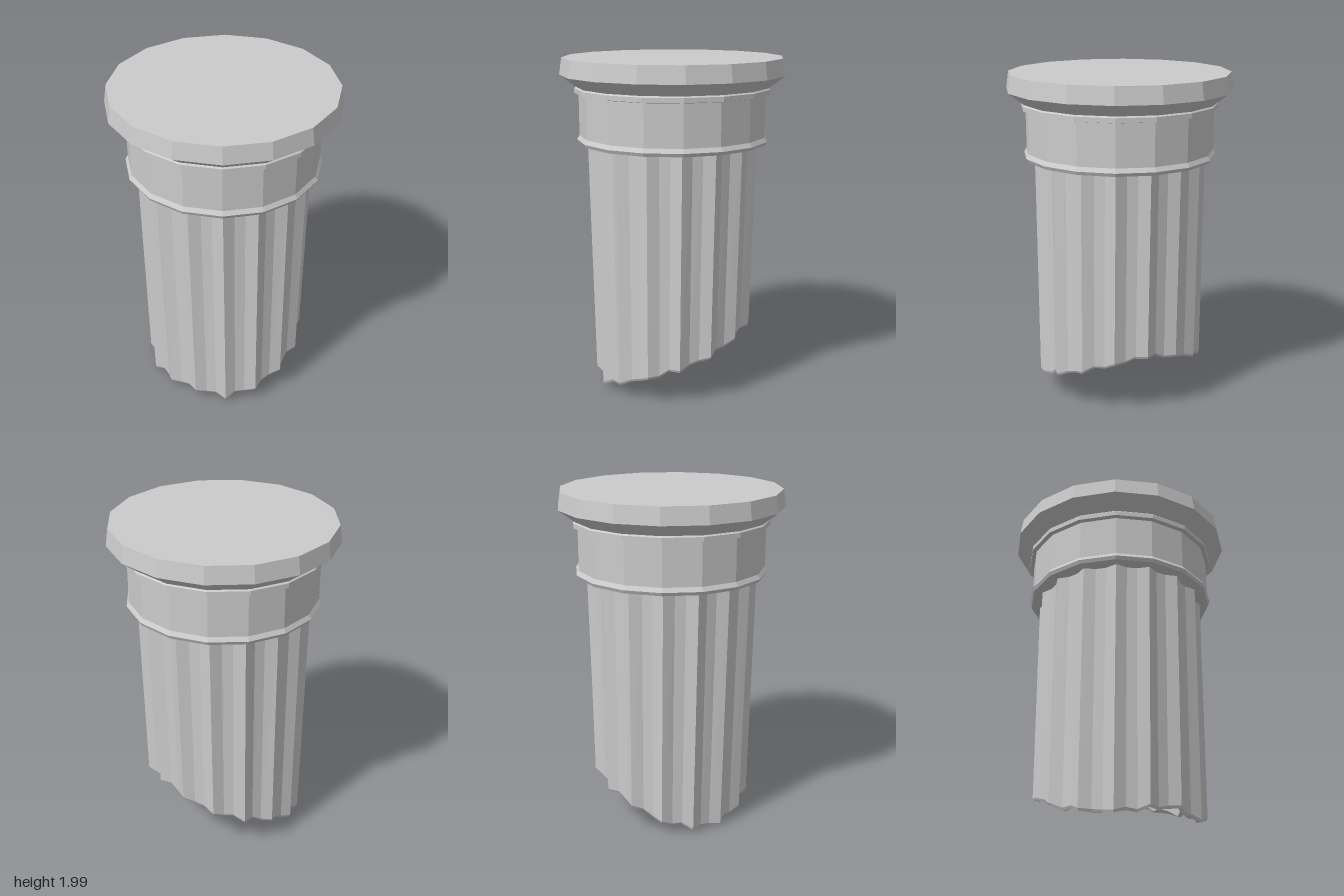
import * as THREE from 'three';

const SIDES = 16;          // capital sides and number of flutes
const PER_FLUTE = 3;       // facets across one flute
const SHAFT_TOP = 1.51;

// Height of the broken lower edge at each ridge, going from +x towards +z
const BREAK = [0.38, 0.35, 0.28, 0.22, 0.17, 0.10, 0.04, 0.07,
  0.05, 0.01, 0.03, 0.09, 0.17, 0.22, 0.28, 0.35];

function breakHeight(i) {
  const k = Math.floor(i / PER_FLUTE), t = (i % PER_FLUTE) / PER_FLUTE;
  const y = THREE.MathUtils.lerp(BREAK[k % SIDES], BREAK[(k + 1) % SIDES], t);
  return Math.max(0, y + (t > 0 ? 0.012 * Math.sin(i * 2.7) : 0));
}

// One point of the fluted outline; the shaft narrows slightly in x downwards
function shaftPoint(i, y, inset) {
  const a = (i / (SIDES * PER_FLUTE)) * Math.PI * 2;
  const r = (i % PER_FLUTE === 0 ? 0.507 : 0.472) - inset;
  const taper = 1 - 0.045 * (SHAFT_TOP - y);
  return [r * Math.cos(a) * taper, y, r * Math.sin(a)];
}

// Hollow fluted shell: inner wall, broken rim, outer wall
function shaftGeometry() {
  const n = SIDES * PER_FLUTE;
  const rings = [
    (i) => shaftPoint(i, SHAFT_TOP, 0.03),
    (i) => shaftPoint(i, breakHeight(i) + 0.012 + 0.01 * Math.sin(i * 1.9), 0.03),
    (i) => shaftPoint(i, breakHeight(i), 0.008),
    (i) => shaftPoint(i, breakHeight(i) + 0.015, 0),
    (i) => shaftPoint(i, SHAFT_TOP, 0),
  ];
  const pos = [], index = [];
  for (const ring of rings) for (let i = 0; i < n; i++) pos.push(...ring(i));
  for (let j = 0; j < rings.length - 1; j++) {
    for (let i = 0; i < n; i++) {
      const a = j * n + i, b = j * n + (i + 1) % n;
      index.push(a, a + n, b, b, a + n, b + n);
    }
  }
  const g = new THREE.BufferGeometry();
  g.setAttribute('position', new THREE.Float32BufferAttribute(pos, 3));
  g.setIndex(index);
  g.computeVertexNormals();
  return g;
}

// Turned part with a flat cap at each end
function turned(profile) {
  const [first, last] = [profile[0], profile[profile.length - 1]];
  const pts = [[0, first[1]], ...profile, [0, last[1]]];
  return new THREE.LatheGeometry(pts.map(([r, y]) => new THREE.Vector2(r, y)), SIDES);
}

export function createModel() {
  const model = new THREE.Group();
  model.name = 'brokenColumn';
  const stone = new THREE.MeshStandardMaterial({ color: 0xcccccc, flatShading: true });
  const add = (name, geometry) => {
    const mesh = new THREE.Mesh(geometry, stone);
    mesh.name = name;
    model.add(mesh);
  };

  add('flutedShaft', shaftGeometry());

  // Neck with its lower and upper mouldings, then the flared top slab
  add('capital', turned([
    [0.56, 1.50], [0.57, 1.52], [0.555, 1.545],
    [0.555, 1.79], [0.58, 1.795], [0.58, 1.822], [0.572, 1.83],
    [0.665, 1.90], [0.65, 2.0],
  ]));

  return model;
}
